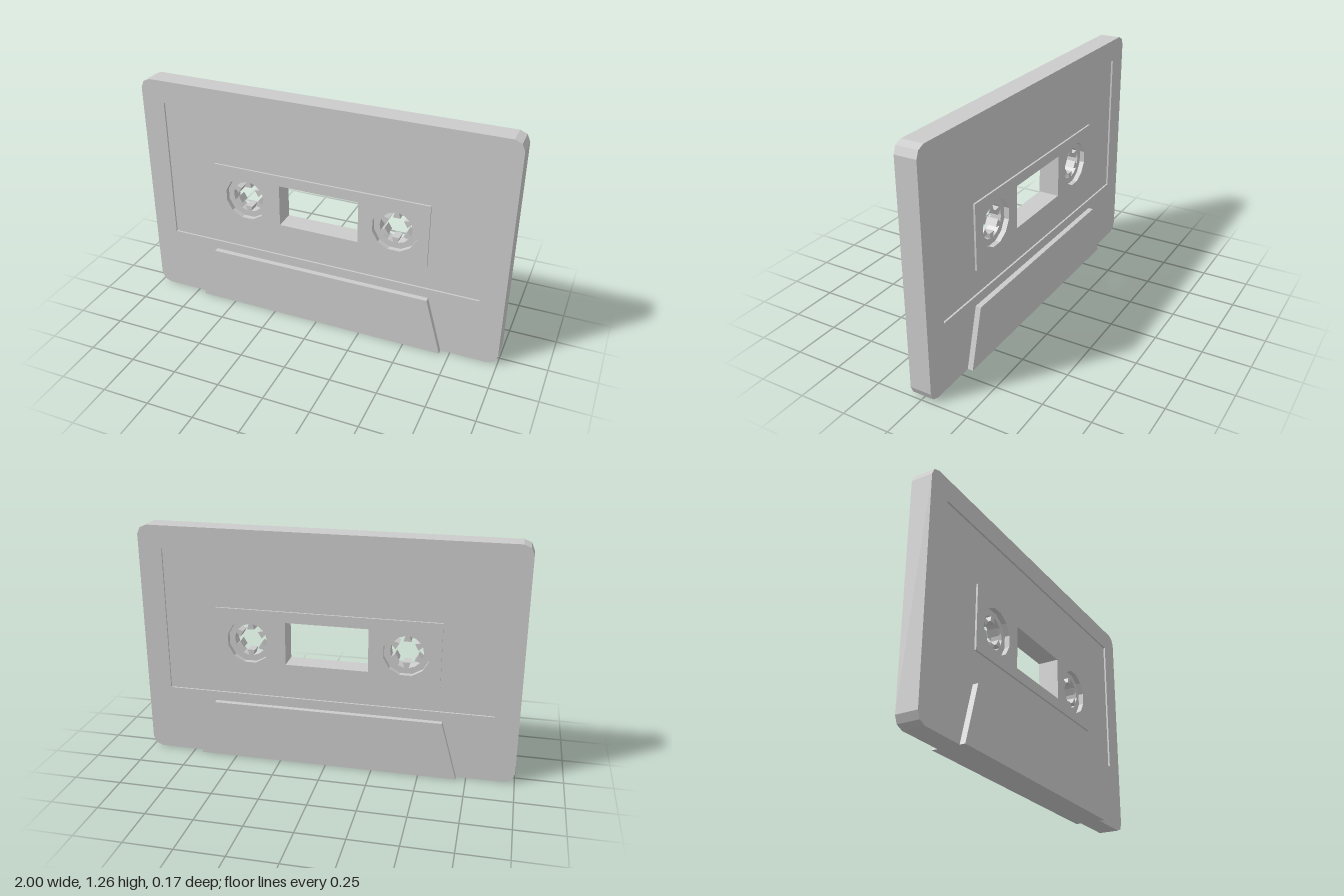
import * as THREE from 'three';

const BODY = 0.114;   // shell thickness
const LABEL = 0.094;  // thickness at the recessed label
const LIP = 0.172;    // thickness across the head lip
const REEL_X = 0.414, REEL_Y = 0.67, REEL_R = 0.121;

const points = (list) => list.map(([x, y]) => new THREE.Vector2(x, y));
const rect = (x, y0, y1) => points([[-x, y0], [x, y0], [x, y1], [-x, y1]]);

function ring(cx, cy, r, sides, turn = 0) {
  return Array.from({ length: sides }, (_, i) => {
    const a = turn + (i / sides) * Math.PI * 2;
    return new THREE.Vector2(cx + r * Math.cos(a), cy + r * Math.sin(a));
  });
}

// Flat plate with holes, extruded along z and centred on z
function plate(name, outline, holes, depth, z = 0) {
  const shape = new THREE.Shape(outline);
  shape.holes = holes.map((h) => new THREE.Path(h));
  const geometry = new THREE.ExtrudeGeometry(shape, { depth, bevelEnabled: false });
  geometry.translate(0, 0, z - depth / 2);
  const mesh = new THREE.Mesh(geometry, new THREE.MeshStandardMaterial({ color: 0xcccccc, flatShading: true }));
  mesh.name = name;
  return mesh;
}

// Outline with two-step chamfered corners
function shellOutline(w, h, c) {
  const s = c * 0.3;
  return points([
    [-w + c, 0], [w - c, 0], [w - s, s], [w, c],
    [w, h - c], [w - s, h - s], [w - c, h], [-w + c, h],
    [-w + s, h - s], [-w, h - c], [-w, c], [-w + s, s],
  ]);
}

// Hub opening with six teeth that widen towards the centre
function toothedOpening(cx, cy) {
  const out = [];
  const root = 0.087, tip = 0.06;
  const add = (r, a) => out.push(new THREE.Vector2(cx + r * Math.cos(a), cy + r * Math.sin(a)));
  for (let i = 0; i < 6; i++) {
    const a = Math.PI / 2 + (i * Math.PI) / 3;
    add(root, a - 0.13);
    add(tip, a - 0.33);
    add(tip, a + 0.33);
    add(root, a + 0.13);
    add(root, a + Math.PI / 6);
  }
  return out;
}

export function createModel() {
  const model = new THREE.Group();
  model.name = 'cassette';

  const labelEdge = rect(0.873, 0.365, 1.145);
  const panelEdge = rect(0.593, 0.495, 0.845);
  const windowEdge = rect(0.219, 0.555, 0.787);
  const reelEdges = [-1, 1].map((s) => ring(s * REEL_X, REEL_Y, REEL_R, 12, Math.PI / 12));

  // Shell frame, recessed label and raised centre panel
  model.add(plate('shell', shellOutline(1, 1.265, 0.052), [labelEdge], BODY));
  model.add(plate('label', labelEdge, [panelEdge], LABEL));
  model.add(plate('centrePanel', panelEdge, [windowEdge, ...reelEdges], BODY));

  // Toothed hubs set inside the reel openings
  [-1, 1].forEach((s, i) => {
    const name = s > 0 ? 'leftReelHub' : 'rightReelHub';
    model.add(plate(name, reelEdges[i], [toothedOpening(s * REEL_X, REEL_Y)], 0.06));
  });

  // Tapered head lip on both faces
  const lip = points([[-0.699, 0], [0.699, 0], [0.612, 0.313], [-0.612, 0.313]]);
  const step = (LIP - BODY) / 2;
  model.add(plate('frontLip', lip, [], step, (BODY + step) / 2));
  model.add(plate('backLip', lip, [], step, -(BODY + step) / 2));

  return model;
}
